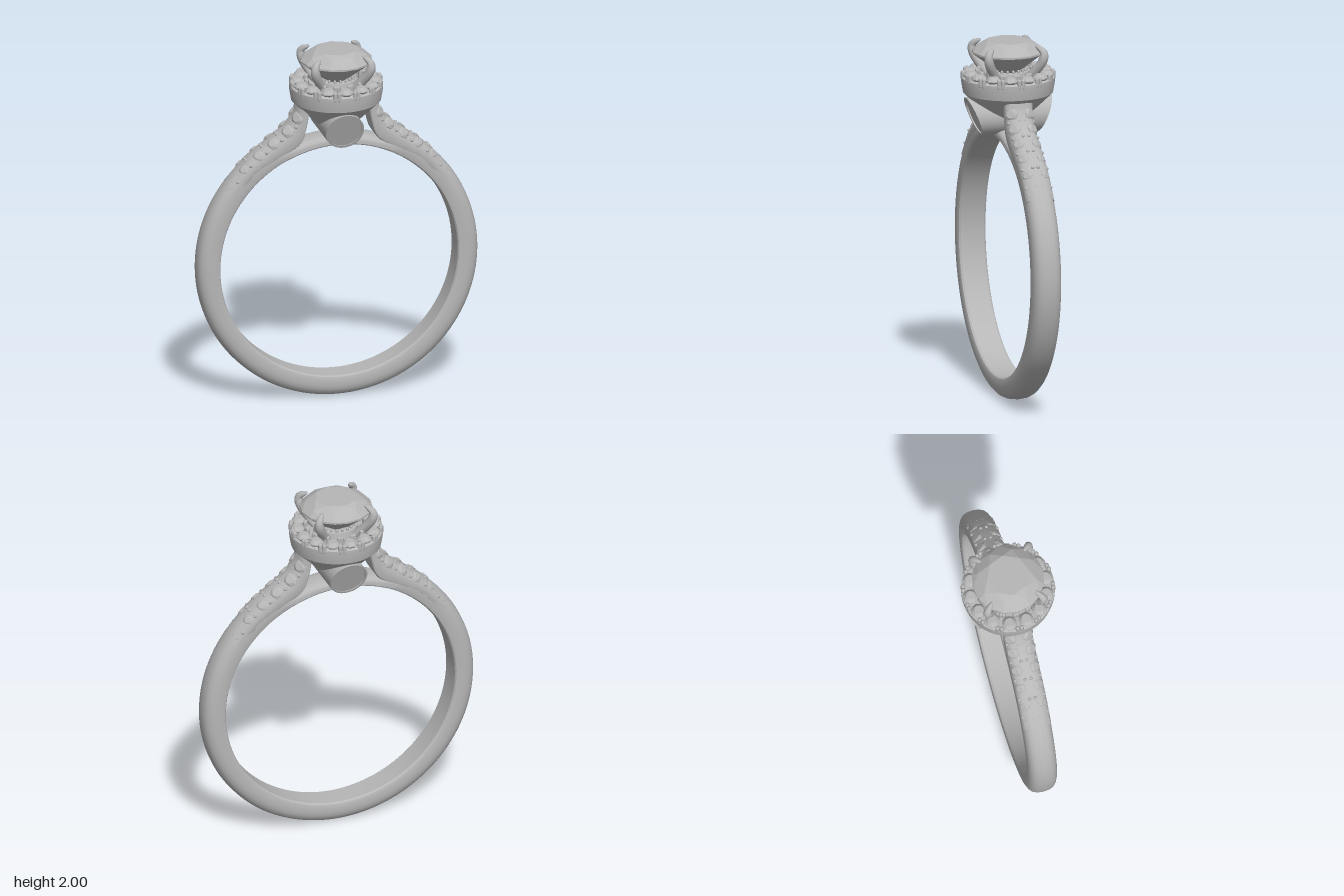
import * as THREE from 'three';
import { toCreasedNormals } from 'three/addons/utils/BufferGeometryUtils.js';
import { ConvexGeometry } from 'three/addons/geometries/ConvexGeometry.js';

const V = (x, y, z = 0) => new THREE.Vector3(x, y, z);
const metal = new THREE.MeshStandardMaterial({ color: 0xb6b6b6 });
metal.name = 'silver grey';

const CENTRE = 0.793, INNER = 0.67;
const UP = V(0, 1, 0);

// Band cross-section: depth from inner (0) to outer (1) edge, and half width
const half = [[0, 0.066], [0.05, 0.076], [0.14, 0.08], [0.45, 0.08], [0.62, 0.077], [0.78, 0.068], [0.9, 0.054], [0.97, 0.034]];
const profile = [...half.map(([u, z]) => [u, -z]), [1, 0], ...half.map(([u, z]) => [u, z]).reverse()];
const section = (inner, outer) => profile.map(([u, z]) => inner.clone().lerp(outer, u).setZ(z));

// Skin a row of equal cross-sections
function loft(sections, closed) {
  const n = sections[0].length, m = sections.length, index = [];
  for (let i = 0; i < (closed ? m : m - 1); i++) {
    for (let j = 0; j < n; j++) {
      const k = (i + 1) % m, l = (j + 1) % n;
      const a = i * n + j, b = i * n + l, c = k * n + l, d = k * n + j;
      index.push(a, d, c, a, c, b);
    }
  }
  if (!closed) {
    const e = (m - 1) * n;
    for (let j = 1; j < n - 1; j++) index.push(e, e + j + 1, e + j, 0, j, j + 1);
  }
  const g = new THREE.BufferGeometry().setFromPoints(sections.flat());
  g.setIndex(index);
  return toCreasedNormals(g, 0.5);
}

// Points evenly spaced on a level circle
function circle(r, y, n, turn = 0) {
  return Array.from({ length: n }, (_, i) => {
    const a = (i + turn) / n * Math.PI * 2;
    return V(r * Math.cos(a), y, r * Math.sin(a));
  });
}

const lathe = (pts, n = 64) =>
  toCreasedNormals(new THREE.LatheGeometry(pts.map(([x, y]) => new THREE.Vector2(x, y)), n), 0.4);

export function createModel() {
  const root = new THREE.Group();
  const add = (name, geometry, parent = root) => {
    const mesh = new THREE.Mesh(geometry, metal);
    mesh.name = name;
    parent.add(mesh);
    return mesh;
  };

  // Band, thinner where it bridges below the head
  const rings = [];
  for (let i = 0; i < 128; i++) {
    const a = i / 128 * Math.PI * 2, dir = V(Math.cos(a), Math.sin(a));
    const full = dir.y < 0 ? 1 : THREE.MathUtils.smoothstep(Math.abs(dir.x), 0.3, 0.68);
    const outer = INNER + THREE.MathUtils.lerp(0.058, 0.123, full);
    rings.push(section(dir.clone().multiplyScalar(INNER).add(V(0, CENTRE)), dir.multiplyScalar(outer).add(V(0, CENTRE))));
  }
  add('band', loft(rings, true));

  // Shoulders rising from the band to the head, set with two rows of stones
  const curve = pts => new THREE.CatmullRomCurve3(pts.map(p => V(...p)));
  const outerEdge = curve([[0.64, 1.25], [0.52, 1.395], [0.39, 1.5], [0.285, 1.585], [0.24, 1.65], [0.225, 1.695]]);
  const innerEdge = curve([[0.58, 1.2], [0.46, 1.33], [0.33, 1.41], [0.215, 1.49], [0.18, 1.59], [0.165, 1.695]]);
  const armSections = [];
  for (let i = 0; i <= 30; i++) armSections.push(section(innerEdge.getPoint(i / 30), outerEdge.getPoint(i / 30)));
  const armGeometry = loft(armSections, false);

  // Small cut stone of unit girdle radius, and setting bead
  const stone = new ConvexGeometry([...circle(0.58, 0.4, 8), ...circle(1, 0.08, 8, 0.5), ...circle(1, 0, 8, 0.5), V(0, -0.7, 0)]);
  const bead = new THREE.SphereGeometry(1, 10, 8);

  for (const side of [0, 1]) {
    const shoulder = new THREE.Group();
    shoulder.name = side ? 'rightShoulder' : 'leftShoulder';
    shoulder.rotation.y = side * Math.PI;
    root.add(shoulder);
    add('shoulderArm', armGeometry, shoulder);
    [0.04, 0.16, 0.29, 0.42, 0.57, 0.77].forEach((t, i) => {
      const p = outerEdge.getPoint(t), tan = outerEdge.getTangent(t);
      const out = V(tan.y, -tan.x);
      const size = 0.029 + Math.min(i, 4) * 0.0025;
      for (const s of [-1, 1]) {
        const gem = add('shoulderStone', stone, shoulder);
        gem.position.copy(p).addScaledVector(out, -0.018).setZ(s * 0.051);
        gem.quaternion.setFromUnitVectors(UP, out.clone().setZ(s * 0.75).normalize());
        gem.scale.setScalar(size);
        for (const z of [0.016, 0.07]) {
          const dot = add('shoulderBead', bead, shoulder);
          dot.position.copy(p).addScaledVector(tan, size + 0.012).addScaledVector(out, z > 0.05 ? -0.026 : -0.003).setZ(s * z);
          dot.scale.setScalar(0.01);
        }
      }
    });
  }

  // Cross peg under the head with slanted, recessed ends
  const peg = lathe([[0, -0.19], [0.095, -0.19], [0.095, -0.2], [0.107, -0.2], [0.107, 0.2], [0.095, 0.2], [0.095, 0.19], [0, 0.19]], 48);
  peg.rotateX(Math.PI / 2).translate(0, 1.583, 0);
  const pos = peg.attributes.position;
  for (let i = 0; i < pos.count; i++) {
    pos.setZ(i, pos.getZ(i) * (0.155 + (pos.getY(i) - 1.476) * 0.4) / 0.2);
  }
  pos.needsUpdate = true;
  peg.computeVertexNormals();
  add('crossPeg', toCreasedNormals(peg, 0.4));

  // Cup that carries the halo
  add('cup', lathe([[0, 1.52], [0.05, 1.52], [0.235, 1.7], [0.247, 1.712], [0.256, 1.765], [0.256, 1.795],
    [0.236, 1.805], [0.18, 1.805], [0.165, 1.79], [0, 1.78]]));
  add('basket', lathe([[0.075, 1.78], [0.125, 1.78], [0.115, 1.83], [0.09, 1.835], [0.06, 1.8]], 48));

  // Halo stones and the claws between them
  const N = 14;
  circle(0.212, 1.812, N, 0.5).forEach(p => {
    const gem = add('haloStone', stone, root);
    gem.position.copy(p);
    gem.rotation.y = -Math.atan2(p.z, p.x);
    gem.scale.set(0.043, 0.06, 0.043);
  });
  const claw = new THREE.CapsuleGeometry(0.012, 0.035, 4, 10);
  for (const turn of [0.2, 0.8]) {
    circle(0.247, 1.803, N, turn + 0.5 + (turn < 0.5 ? 0.2 : -0.2)).forEach(p => add('haloClaw', claw).position.copy(p));
    circle(0.168, 1.812, N, turn + 0.5 + (turn < 0.5 ? 0.2 : -0.2)).forEach(p => add('innerClaw', claw).position.copy(p));
  }

  // Ribs of the basket under the centre stone
  circle(0.1, 1.83, 20).forEach(p => {
    const rib = add('basketRib', claw);
    rib.position.copy(p);
    rib.scale.setScalar(0.65);
  });

  // Faceted centre stone
  add('centreStone', new ConvexGeometry([
    ...circle(0.118, 2, 8), ...circle(0.165, 1.976, 8, 0.5), ...circle(0.199, 1.943, 16),
    ...circle(0.199, 1.933, 16), ...circle(0.09, 1.846, 8, 0.5), V(0, 1.79, 0)]));

  // Four tapered prongs holding the centre stone
  const path = curve([[0.12, 1.79], [0.175, 1.85], [0.215, 1.905], [0.222, 1.95], [0.168, 1.988]]);
  const steps = 24, around = 12;
  const prong = new THREE.TubeGeometry(path, steps, 0.026, around, false);
  const pp = prong.attributes.position, v = V(0, 0);
  for (let i = 0; i <= steps; i++) {
    const c = path.getPointAt(i / steps), s = Math.min(1, Math.sqrt((steps - i) / 9));
    for (let j = 0; j <= around; j++) {
      const k = i * (around + 1) + j;
      v.fromBufferAttribute(pp, k).sub(c).multiplyScalar(s).add(c);
      pp.setXYZ(k, v.x, v.y, v.z);
    }
  }
  prong.computeVertexNormals();
  for (let i = 0; i < 4; i++) add('prong', prong).rotation.y = Math.PI / 4 + i * Math.PI / 2;

  return root;
}
